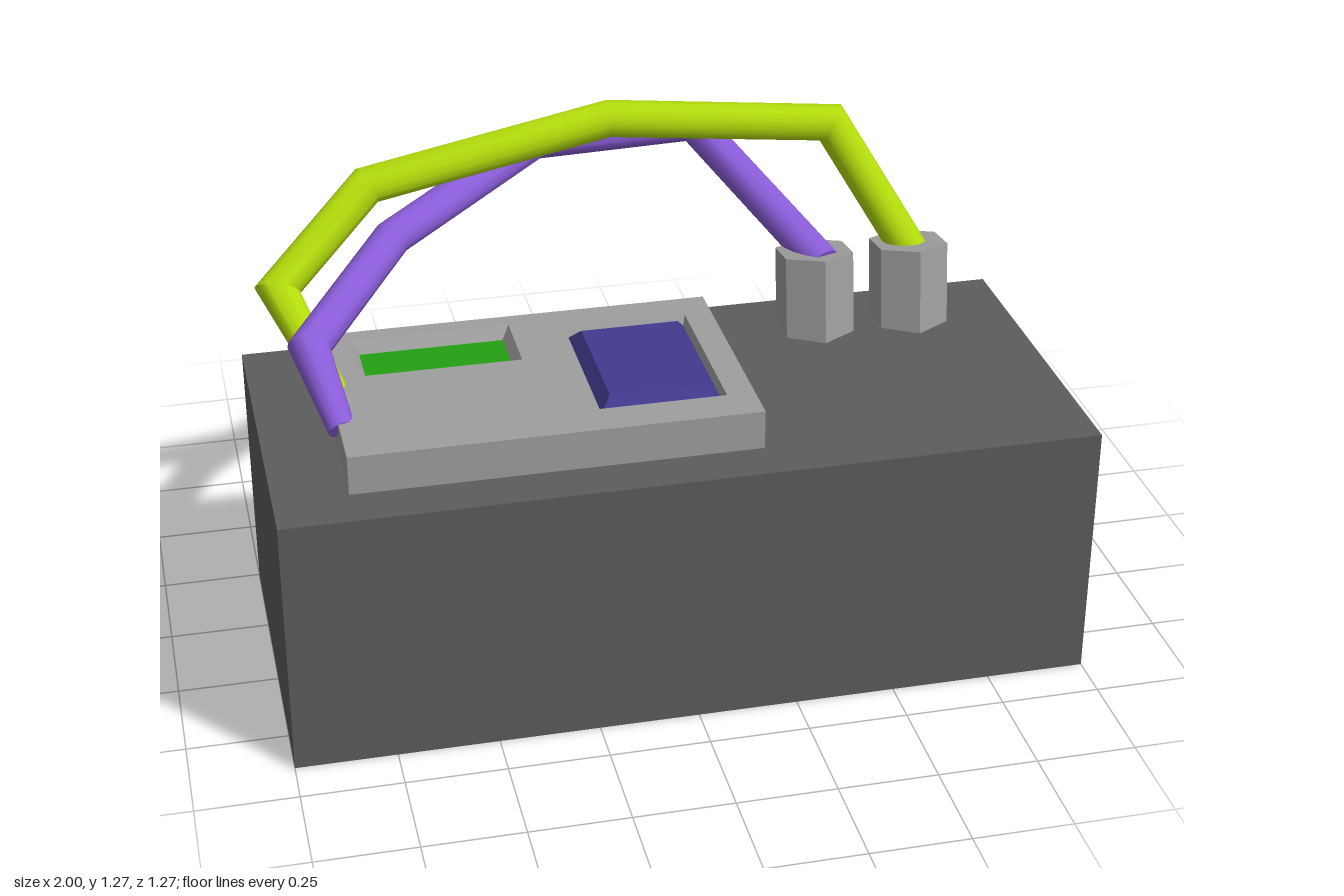
import * as THREE from 'three';
import { toCreasedNormals } from 'three/addons/utils/BufferGeometryUtils.js';

const mat = (name, color, extra = {}) => {
  const m = new THREE.MeshStandardMaterial({ color, ...extra });
  m.name = name;
  return m;
};

// Four-sided band between two rectangles [x0, x1, z0, z1] at two heights
function band(a, ya, b, yb) {
  const ring = ([x0, x1, z0, z1], y) => [[x0, y, z1], [x1, y, z1], [x1, y, z0], [x0, y, z0]];
  const p = ring(a, ya), q = ring(b, yb), pos = [];
  for (let i = 0; i < 4; i++) {
    const j = (i + 1) % 4;
    pos.push(...p[i], ...p[j], ...q[j], ...p[i], ...q[j], ...q[i]);
  }
  const g = new THREE.BufferGeometry();
  g.setAttribute('position', new THREE.Float32BufferAttribute(pos, 3));
  g.computeVertexNormals();
  return g;
}

// Flat rectangle facing up
function flat([x0, x1, z0, z1], y) {
  return new THREE.PlaneGeometry(x1 - x0, z1 - z0).rotateX(-Math.PI / 2)
    .translate((x0 + x1) / 2, y, (z0 + z1) / 2);
}

// Round cable with straight runs and mitred corners, narrowing at the far end
function cableGeometry(points, radius, endScale, sides = 14) {
  const pts = points.map((p) => new THREE.Vector3(...p));
  const last = pts.length - 1;
  const dirs = pts.slice(1).map((p, i) => p.clone().sub(pts[i]).normalize());
  const u = new THREE.Vector3(0, 0, 1).cross(dirs[0]).normalize();
  const v = dirs[0].clone().cross(u);
  let ring = [];
  for (let i = 0; i < sides; i++) {
    const a = (i / sides) * Math.PI * 2;
    ring.push(pts[0].clone().addScaledVector(u, radius * Math.cos(a)).addScaledVector(v, radius * Math.sin(a)));
  }
  const rings = [ring];
  for (let k = 1; k <= last; k++) {
    // slide the previous ring along the run onto the mitre plane
    const d = dirs[k - 1];
    const n = k < last ? d.clone().add(dirs[k]).normalize() : d;
    ring = ring.map((p) => p.clone().addScaledVector(d, pts[k].clone().sub(p).dot(n) / d.dot(n)));
    if (k === last) ring = ring.map((p) => p.lerp(pts[k], 1 - endScale));
    rings.push(ring);
  }
  const pos = [];
  const tri = (...c) => c.forEach((p) => pos.push(p.x, p.y, p.z));
  for (let i = 0; i < sides; i++) {
    const j = (i + 1) % sides;
    for (let k = 0; k < last; k++) {
      tri(rings[k][i], rings[k][j], rings[k + 1][j]);
      tri(rings[k][i], rings[k + 1][j], rings[k + 1][i]);
    }
    tri(pts[0], rings[0][j], rings[0][i]);
    tri(pts[last], rings[last][i], rings[last][j]);
  }
  const g = new THREE.BufferGeometry();
  g.setAttribute('position', new THREE.Float32BufferAttribute(pos, 3));
  return toCreasedNormals(g, 0.6);
}

export function createModel() {
  const group = new THREE.Group();
  group.name = 'wiredBox';
  const darkGrey = mat('dark grey', 0x5c5c5c);
  const lightGrey = mat('light grey', 0x9e9e9e, { side: THREE.DoubleSide });
  const green = mat('display green', 0x23a013);
  const blue = mat('screen blue', 0x413a8e);
  const yellow = mat('cable yellow green', 0xb2dc0c);
  const purple = mat('cable purple', 0x8a5cd8);
  const add = (name, geometry, material) => {
    const mesh = new THREE.Mesh(geometry, material);
    mesh.name = name;
    group.add(mesh);
    return mesh;
  };

  // Main box
  add('body', new THREE.BoxGeometry(2, 0.67, 0.88).translate(0, 0.335, 0.195), darkGrey);

  // Raised panel with two rectangular openings
  const panel = [-0.82, 0.185, -0.115, 0.515];
  const greenHole = [-0.74, -0.335, -0.07, 0.125];
  const greenFloor = [-0.72, -0.355, -0.045, 0.105];
  const blueHole = [-0.2, 0.115, -0.025, 0.415];
  const blueBase = [-0.192, 0.108, -0.012, 0.403];
  const blueTop = [-0.165, 0.085, 0.025, 0.365];
  const outline = (target, [x0, x1, z0, z1]) => {
    target.moveTo(x0, -z1).lineTo(x1, -z1).lineTo(x1, -z0).lineTo(x0, -z0).closePath();
    return target;
  };
  const shape = outline(new THREE.Shape(), panel);
  shape.holes.push(outline(new THREE.Path(), greenHole), outline(new THREE.Path(), blueHole));
  add('panel', new THREE.ExtrudeGeometry(shape, { depth: 0.1, bevelEnabled: false })
    .rotateX(-Math.PI / 2).translate(0, 0.67, 0), lightGrey);

  // Green display at the bottom of a sloped recess
  add('displayRecess', band(greenFloor, 0.74, greenHole, 0.77).scale(1, 1, 1), lightGrey);
  add('display', flat(greenFloor, 0.74), green);

  // Blue screen with bevelled edges
  add('screenRecess', band(blueBase, 0.745, blueHole, 0.77), lightGrey);
  add('screenEdge', band(blueBase, 0.745, blueTop, 0.78), blue);
  add('screen', flat(blueTop, 0.78), blue);

  // Hexagonal terminals leaning back
  const tilt = 0.14;
  for (const x of [0.48, 0.735]) {
    const terminal = add('terminal', new THREE.CylinderGeometry(0.104, 0.104, 0.3, 6).toNonIndexed(), lightGrey);
    terminal.geometry.computeVertexNormals();
    terminal.rotation.x = -tilt;
    terminal.position.set(x, 0.875 - 0.15 * Math.cos(tilt), -0.11 + 0.15 * Math.sin(tilt));
  }

  // Cables from the terminals to the left edge of the panel
  add('yellowCable', cableGeometry([
    [0.75, 0.83, -0.1], [0.55, 1.175, -0.235], [-0.03, 1.225, -0.27],
    [-0.66, 1.125, -0.215], [-0.91, 0.93, -0.07], [-0.8, 0.74, 0.17],
  ], 0.048, 0.7), yellow);
  add('purpleCable', cableGeometry([
    [0.495, 0.85, -0.07], [0.27, 1.055, -0.59], [-0.17, 1.055, -0.56],
    [-0.6, 0.965, -0.235], [-0.86, 0.875, 0.15], [-0.81, 0.745, 0.335],
  ], 0.048, 0.7), purple);

  return group;
}
